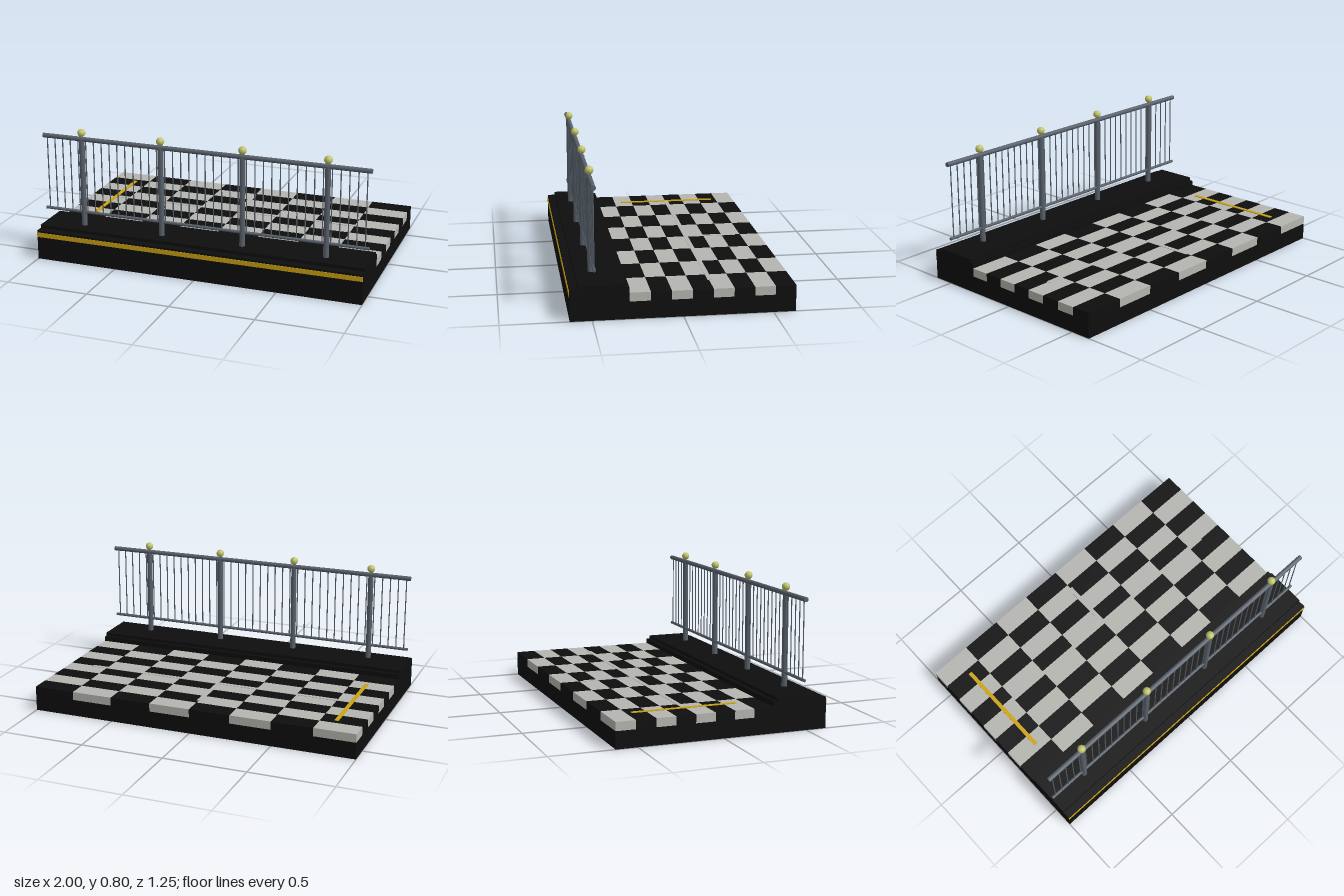
import * as THREE from 'three';

const mat = (name, color) => {
  const m = new THREE.MeshStandardMaterial({ color });
  m.name = name;
  return m;
};

export function createModel() {
  const model = new THREE.Group();
  model.name = 'railedPlatform';
  const black = mat('black', 0x0e0e0e);
  const stone = mat('paleStone', 0xb5b5b0);
  const yellow = mat('lineYellow', 0xcca212);
  const steel = mat('steel', 0x59616b);
  const glow = mat('lampYellow', 0xc0c46c);

  const add = (name, geometry, material, x, y, z, parent = model) => {
    const mesh = new THREE.Mesh(geometry, material);
    mesh.name = name;
    mesh.position.set(x, y, z);
    parent.add(mesh);
    return mesh;
  };
  // Box given by its limits on each axis
  const box = (name, material, [x0, x1], [y0, y1], [z0, z1], parent) =>
    add(name, new THREE.BoxGeometry(x1 - x0, y1 - y0, z1 - z0), material,
      (x0 + x1) / 2, (y0 + y1) / 2, (z0 + z1) / 2, parent);

  // Base slab, front kerb and its raised cap
  box('floorSlab', black, [-1, 1], [0, 0.1], [-0.625, 0.297]);
  box('kerb', black, [-1, 1], [0, 0.18], [0.297, 0.622]);
  box('kerbCap', black, [-1, 1], [0.18, 0.2], [0.32, 0.575]);
  box('kerbStripe', yellow, [-1, 1], [0.14, 0.168], [0.621, 0.625]);

  // Checkered floor tiles
  const floor = new THREE.Group();
  floor.name = 'checkeredFloor';
  model.add(floor);
  const pitch = 0.115, back = -0.625;
  for (let row = 0; row < 8; row++) {
    for (let col = 0; col < 8; col++) {
      const x = -1 + col * 0.25, z = back + row * pitch;
      const pale = (row + col) % 2 === 0;
      box(pale ? 'paleTile' : 'blackTile', pale ? stone : black,
        [x, x + 0.25], [0.1, 0.15], [z, z + pitch], floor);
    }
  }

  // Floor lines
  box('yellowFloorLine', yellow, [-0.852, -0.828], [0.15, 0.154], [-0.48, 0.14]);
  box('longFloorLine', stone, [-0.83, 0.85], [0.15, 0.152], [-0.183, -0.157]);
  box('crossFloorLine', stone, [-0.015, 0.012], [0.15, 0.152], [-0.48, -0.183]);

  // Railing
  const railing = new THREE.Group();
  railing.name = 'railing';
  railing.position.z = 0.485;
  model.add(railing);
  const rail = (name, y, r) => {
    const g = new THREE.CylinderGeometry(r, r, 2, 12).rotateZ(Math.PI / 2);
    add(name, g, steel, 0, y, 0, railing);
  };
  rail('topRail', 0.738, 0.014);
  rail('bottomRail', 0.283, 0.009);

  const post = new THREE.CylinderGeometry(0.017, 0.017, 0.54, 12);
  const ball = new THREE.SphereGeometry(0.024, 16, 12);
  for (const x of [-0.75, -0.25, 0.25, 0.75]) {
    add('post', post, steel, x, 0.47, 0, railing);
    add('postBall', ball, glow, x, 0.776, 0, railing);
  }

  const baluster = new THREE.CylinderGeometry(0.0035, 0.0035, 0.455, 6);
  for (let i = 0; i < 40; i++) {
    add('baluster', baluster, steel, -0.975 + i * 0.05, 0.51, 0, railing);
  }
  return model;
}
